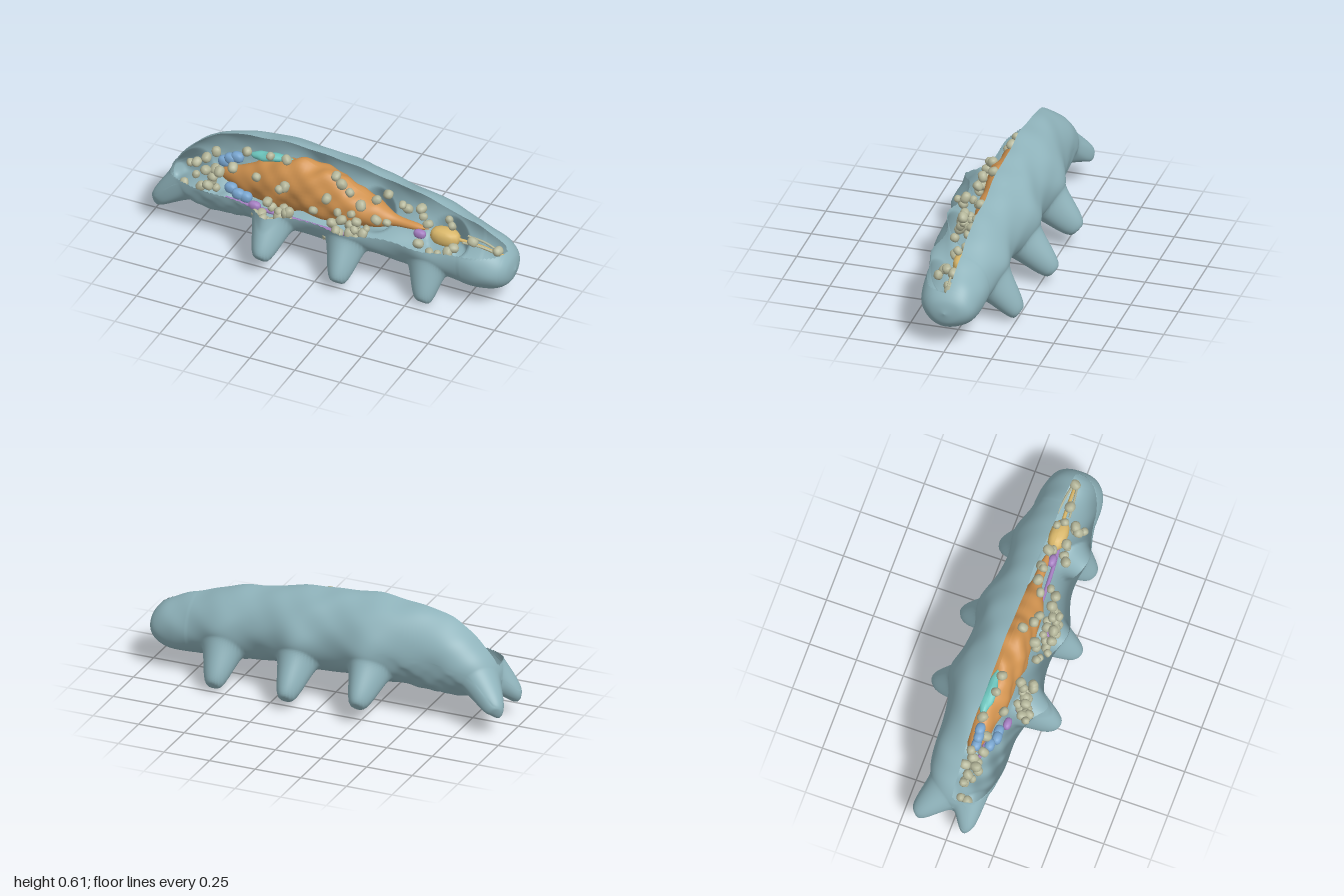
import * as THREE from 'three';

const CUT = 0.33; // height of the horizontal cut
const mat = (color) => new THREE.MeshStandardMaterial({ color, side: THREE.DoubleSide });
let seed = 7;
const rand = () => (seed = (seed * 16807) % 2147483647) / 2147483647;
const wave = (p, f) => Math.sin(p.x * f) * Math.sin(p.y * f * 1.3 + 1) + Math.sin(p.z * f * 1.1 + p.x * f * 0.6);

// Cross-section sizes along the body: x, top, bottom, half width
const bodyRows = [
  [-0.91, 0.25, 0.25, 0], [-0.9, 0.31, 0.19, 0.08], [-0.87, 0.37, 0.165, 0.125], [-0.8, 0.45, 0.165, 0.155],
  [-0.7, 0.53, 0.15, 0.175], [-0.58, 0.578, 0.145, 0.185], [-0.42, 0.606, 0.155, 0.205], [-0.25, 0.615, 0.155, 0.218],
  [-0.05, 0.605, 0.15, 0.212], [0.15, 0.58, 0.145, 0.208], [0.35, 0.546, 0.14, 0.19], [0.55, 0.503, 0.12, 0.176],
  [0.72, 0.45, 0.108, 0.165], [0.84, 0.4, 0.106, 0.16], [0.93, 0.35, 0.125, 0.135], [0.98, 0.3, 0.165, 0.085],
  [1, 0.23, 0.23, 0],
];
const gutRows = [
  [-0.66, 0.34, 0.34, 0], [-0.6, 0.385, 0.3, 0.03], [-0.48, 0.43, 0.26, 0.06], [-0.35, 0.5, 0.24, 0.085],
  [-0.17, 0.54, 0.24, 0.1], [0, 0.52, 0.24, 0.1], [0.12, 0.46, 0.25, 0.09], [0.24, 0.41, 0.28, 0.07],
  [0.33, 0.36, 0.3, 0.03], [0.45, 0.345, 0.31, 0.02], [0.52, 0.33, 0.33, 0],
];
const ovaryRows = [
  [-0.48, 0.5, 0.5, 0], [-0.44, 0.515, 0.475, 0.025], [-0.38, 0.53, 0.485, 0.03],
  [-0.3, 0.535, 0.505, 0.025], [-0.22, 0.53, 0.53, 0],
];

// Smoothly interpolated section at t = 0..1
function sectionOf(rows) {
  const a = new THREE.CatmullRomCurve3(rows.map((r) => new THREE.Vector3(r[0], r[1], r[2])), false, 'catmullrom', 0.5);
  const b = new THREE.CatmullRomCurve3(rows.map((r) => new THREE.Vector3(r[3], 0, 0)), false, 'catmullrom', 0.5);
  return (t) => {
    const p = a.getPoint(t);
    return { x: p.x, yc: (p.y + p.z) / 2, h: Math.max((p.y - p.z) / 2, 1e-4), w: Math.max(b.getPoint(t).x, 1e-4) };
  };
}

// Skin over elliptical sections; an opened skin lacks its upper front quarter
function loft(rows, nx, nr, open, warp) {
  const section = sectionOf(rows), pos = [], idx = [];
  for (let i = 0; i <= nx; i++) {
    const s = section(i / nx);
    const isCut = open && s.yc + s.h > CUT;
    const from = isCut ? Math.asin(Math.max(-1, (CUT - s.yc) / s.h)) : Math.PI / 2;
    const to = -1.5 * Math.PI + (isCut && s.yc + s.h > CUT + 0.01 ? Math.asin(Math.min(1, 0.012 / s.w)) : 0);
    for (let j = 0; j <= nr; j++) {
      const a = from + ((to - from) * j) / nr;
      const p = new THREE.Vector3(s.x, s.yc + s.h * Math.sin(a), s.w * Math.cos(a));
      warp(p, s);
      if (isCut && j === 0) p.y = CUT + 0.003 * Math.sin(i * 2.1);
      pos.push(p.x, p.y, p.z);
      if (i < nx && j < nr) {
        const k = i * (nr + 1) + j, n = k + nr + 1;
        idx.push(k, k + 1, n, k + 1, n + 1, n);
      }
    }
  }
  const g = new THREE.BufferGeometry();
  g.setAttribute('position', new THREE.Float32BufferAttribute(pos, 3));
  g.setIndex(idx);
  g.computeVertexNormals();
  return g;
}

// Legs are pulled out of the skin: root, pull, radius of influence
const legs = [
  [-0.27, 0.24, 0.18, 0, -0.135, 0.13, 0.12], [-0.26, 0.235, -0.18, 0.005, -0.13, -0.13, 0.12],
  [0.13, 0.21, 0.165, 0.01, -0.145, 0.12, 0.115], [0.14, 0.215, -0.165, 0, -0.14, -0.14, 0.115],
  [0.565, 0.175, 0.135, 0.01, -0.145, 0.075, 0.11], [0.56, 0.19, -0.145, 0, -0.14, -0.11, 0.115],
  [-0.86, 0.23, 0.1, -0.085, -0.09, 0, 0.11], [-0.86, 0.23, -0.11, -0.09, -0.075, -0.065, 0.12],
].map(([x, y, z, dx, dy, dz, r]) => ({ root: new THREE.Vector3(x, y, z), pull: new THREE.Vector3(dx, dy, dz), r }));

function warpBody(p, s) {
  const base = p.clone();
  const ease = Math.min(1, s.w * 8);
  // Shallow folds between the segments
  const fold = 0.015 * Math.sin(base.x * 15.4 + 5.7) * ease * (base.x < 0.75 ? 1 : 0.2);
  p.z *= 1 + fold;
  p.y += (base.y - s.yc) * fold * 0.4 + 0.0025 * wave(base, 29);
  p.z += 0.0025 * wave(base, 23) * ease;
  // Wrinkled belly towards the rear
  if (base.y < s.yc) p.y += 0.005 * wave(base, 52) * ease * THREE.MathUtils.smoothstep(-base.x, 0.25, 0.45);
  for (const leg of legs) {
    // Blunt leg, and the broad shoulder it grows from
    const d = base.distanceTo(leg.root);
    const k = 1 - THREE.MathUtils.smoothstep(d, 0.025, leg.r);
    p.addScaledVector(leg.pull, 1 - (1 - k) ** 1.35);
    const shoulder = Math.exp(-(((base.x - leg.root.x) / 0.1) ** 2) - ((base.y - 0.33) / 0.13) ** 2);
    if (leg.root.x > -0.5 && base.z * leg.root.z > 0) p.z += base.z * 0.15 * shoulder;
  }
}

// Slightly angular lump shared by cells, glands and bulb
function lumpGeometry() {
  const g = new THREE.SphereGeometry(1, 14, 10), at = g.attributes.position, p = new THREE.Vector3();
  for (let i = 0; i < at.count; i++) {
    p.fromBufferAttribute(at, i);
    p.multiplyScalar(0.93 / (Math.abs(p.x) ** 3.5 + Math.abs(p.y) ** 3.5 + Math.abs(p.z) ** 3.5) ** (0.6 / 3.5));
    at.setXYZ(i, p.x, p.y, p.z);
  }
  g.computeVertexNormals();
  return g;
}

export function createModel() {
  const model = new THREE.Group();
  const lump = lumpGeometry();
  const add = (parent, name, geometry, material) => {
    const m = new THREE.Mesh(geometry, material);
    m.name = name;
    parent.add(m);
    return m;
  };
  const blob = (parent, name, material, x, y, z, rx, ry, rz) => {
    const m = add(parent, name, lump, material);
    m.position.set(x, y, z);
    m.scale.set(rx, ry, rz);
    return m;
  };
  const tube = (name, material, r, pts) => {
    const curve = new THREE.CatmullRomCurve3(pts.map((p) => new THREE.Vector3(...p)));
    add(model, name, new THREE.TubeGeometry(curve, 32, r, 8), material);
  };
  const lumpy = (amount, f) => (p, s) => {
    const k = amount * wave(p, f) * Math.min(1, s.w * 12);
    p.y += (p.y - s.yc) * k;
    p.z *= 1 + k;
  };

  // Hollow body with its eight legs
  add(model, 'bodySkin', loft(bodyRows, 240, 130, true, warpBody), mat(0x8fb3bb));

  // Lumpy gut, throat bulb and mouth parts
  add(model, 'gut', loft(gutRows, 100, 48, false, lumpy(0.055, 42)), mat(0xd0924f));
  const yellow = mat(0xd9b76a);
  blob(model, 'throatBulb', yellow, 0.615, 0.325, 0.015, 0.085, 0.05, 0.05);
  tube('mouthTube', yellow, 0.009, [[0.68, 0.325, 0.01], [0.8, 0.315, 0.005], [0.93, 0.29, 0]]);
  for (const z of [-0.03, 0.035]) tube('stylet', mat(0xb5b79a), 0.006, [[0.72, 0.33, z], [0.82, 0.325, z * 0.7], [0.91, 0.3, z * 0.3]]);

  // Ovary on top of the gut
  add(model, 'ovary', loft(ovaryRows, 40, 20, false, lumpy(0.4, 60)), mat(0x6cc5bd));

  // Glands near the rear
  const blue = mat(0x78a5cf);
  [[-0.61, 0.425, 0.02], [-0.575, 0.45, 0.02], [-0.54, 0.465, 0.015], [-0.55, 0.31, 0.07], [-0.5, 0.3, 0.09], [-0.46, 0.29, 0.085]]
    .forEach(([x, y, z]) => blob(model, 'gland', blue, x, y, z, 0.036, 0.03, 0.027));

  // Nerve knots and cord along the belly
  const purple = mat(0xa57fc2);
  tube('nerveCord', purple, 0.01, [[-0.6, 0.21, 0.03], [-0.25, 0.2, 0.04], [0.15, 0.19, 0.04], [0.5, 0.18, 0.03], [0.75, 0.2, 0]]);
  [[-0.4, 0.27, 0.11], [-0.27, 0.2, 0.13], [0.14, 0.19, 0.12], [0.48, 0.31, 0.03]]
    .forEach(([x, y, z]) => blob(model, 'nerveKnot', purple, x, y, z, 0.035, 0.025, 0.022));

  // Storage cells floating in the cavity
  const cells = new THREE.Group();
  cells.name = 'storageCells';
  model.add(cells);
  const cellMat = mat(0xb3b599);
  const cell = (x, y, z) => {
    const r = 0.02 + rand() * 0.008;
    const m = blob(cells, 'storageCell', cellMat, x, y, z, r * 1.15, r * 0.92, r);
    m.rotation.set(rand() * 3, rand() * 3, rand() * 3);
  };
  [
    [-0.8, 0.36, 0.02], [-0.76, 0.38, 0.03], [-0.72, 0.4, 0], [-0.7, 0.36, 0.05], [-0.66, 0.46, 0.01], [-0.62, 0.38, 0.06],
    [-0.66, 0.36, 0.02], [-0.55, 0.42, 0.05], [-0.49, 0.51, 0.01], [-0.35, 0.535, 0.03], [-0.26, 0.54, 0.03], [-0.4, 0.43, 0.09],
    [-0.23, 0.44, 0.12], [-0.3, 0.36, 0.17], [-0.25, 0.43, 0.14], [-0.06, 0.36, 0.14], [0, 0.43, 0.11], [0.02, 0.53, 0.04],
    [0.07, 0.52, 0.08], [0.12, 0.49, 0.09], [0.11, 0.37, 0.17], [0.17, 0.43, 0.18], [0.2, 0.46, 0.13], [0.25, 0.46, 0.05],
    [0.28, 0.39, 0.12], [0.3, 0.49, 0.02], [0.38, 0.45, 0.02], [0.4, 0.42, 0], [0.48, 0.45, 0.01], [0.5, 0.42, 0.03],
    [0.55, 0.42, 0.08], [0.63, 0.42, 0], [0.66, 0.41, 0.03], [0.07, 0.38, 0.13], [0.18, 0.36, 0.14], [0.32, 0.36, 0.08],
    [0.77, 0.34, 0.02], [0.9, 0.31, 0],
  ].forEach((p) => cell(...p));
  // Heaps of cells resting beside the legs: x, z, spread in x, count
  [[-0.27, 0.16, 0.09, 14], [0.12, 0.14, 0.12, 15], [0.6, 0.1, 0.11, 7], [-0.73, 0.03, 0.12, 8]].forEach(([x, z, w, n]) => {
    for (let i = 0; i < n; i++) cell(x + (rand() * 2 - 1) * w, 0.22 + rand() * 0.11, z + (rand() * 2 - 1) * 0.035);
  });
  return model;
}
